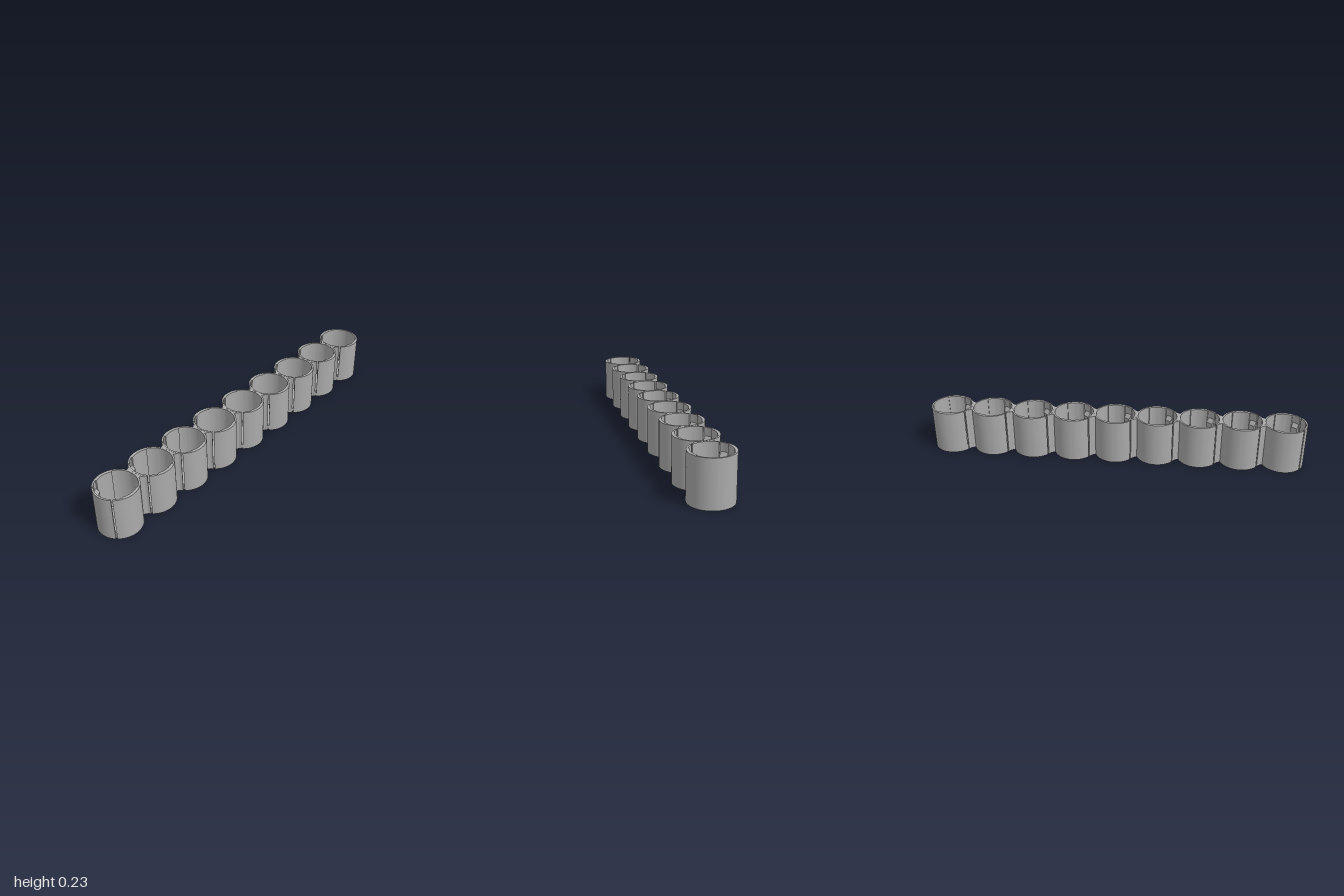
import * as THREE from 'three';
import { toCreasedNormals } from 'three/addons/utils/BufferGeometryUtils.js';

const R = 0.111, H = 0.235, PITCH = 0.2223, COUNT = 9;
const THIN = 0.102, THICK = 0.096;   // inner wall radii
const SLOT = 0.672, HALF = 0.034;    // slot angle from the front and its half width
const FLOOR = 0.025;

// Plan position at an angle measured from the front (+z)
const at = (r, a, z = 0) => new THREE.Vector2(r * Math.sin(a), -(z + r * Math.cos(a)));

function arc(r, a0, a1, z = 0) {
  const n = Math.max(2, Math.ceil(Math.abs(a1 - a0) / 0.09));
  return Array.from({ length: n + 1 }, (_, i) => at(r, a0 + (a1 - a0) * i / n, z));
}

// Extrude a plan outline upward
function rise(shape, height) {
  const g = new THREE.ExtrudeGeometry(shape, { depth: height, bevelEnabled: false, curveSegments: 48 });
  g.rotateX(-Math.PI / 2);
  return toCreasedNormals(g, 0.5);
}

export function createModel() {
  const grey = new THREE.MeshStandardMaterial({ color: 0xaaaaaa });
  grey.name = 'grey plastic';
  const model = new THREE.Group();
  model.name = 'cupRow';
  const add = (parent, name, geometry, y = 0) => {
    const m = new THREE.Mesh(geometry, grey);
    m.name = name;
    m.position.y = y;
    parent.add(m);
    return m;
  };

  // Curved wall between the two slots, front and back
  const frontWall = rise(new THREE.Shape([
    ...arc(R, -SLOT + HALF, SLOT - HALF), ...arc(THIN, SLOT - HALF, -SLOT + HALF)]), H);
  const a = SLOT + HALF, b = 2 * Math.PI - a, c = 1.15, d = 2.1, T = 2 * Math.PI;
  const backWall = rise(new THREE.Shape([
    ...arc(R, a, b),
    ...arc(THIN, b, T - c), ...arc(THICK, T - c, T - d),
    ...arc(THIN, T - d, d), ...arc(THICK, d, c), ...arc(THIN, c, a)]), H);

  // Floor, solid or with a rectangular pocket underneath
  const disc = new THREE.Shape(arc(0.105, 0, T).slice(0, -1));
  const solidFloor = rise(disc, FLOOR - 0.001);
  const ring = disc.clone();
  const px = 0.025, pz = 0.036;
  ring.holes.push(new THREE.Path([
    new THREE.Vector2(-px, -pz), new THREE.Vector2(-px, pz),
    new THREE.Vector2(px, pz), new THREE.Vector2(px, -pz)]));
  const pocketFloor = rise(ring, FLOOR - 0.004);
  const pocketLid = rise(disc, 0.003);

  // Sloped catch beside each slot
  const catchShape = new THREE.Shape([[0.004, 0.195], [-0.014, 0.172], [-0.014, 0.13], [0.004, 0.12]]
    .map(p => new THREE.Vector2(...p)));
  const catchGeo = new THREE.ExtrudeGeometry(catchShape, { depth: 0.036, bevelEnabled: false });
  catchGeo.translate(0, 0, -0.018);

  // Tapered web joining one cup to the next
  const webGeo = rise(new THREE.Shape([
    ...arc(0.107, -0.6, 0.6), ...arc(0.107, Math.PI - 0.36, Math.PI + 0.36, PITCH)]), H - 0.001);

  for (let i = 0; i < COUNT; i++) {
    const cup = new THREE.Group();
    cup.name = 'cup' + (i + 1);
    cup.position.z = (i - (COUNT - 1) / 2) * PITCH;
    add(cup, 'frontWall', frontWall);
    add(cup, 'backWall', backWall);
    if (i === 0 || i === COUNT - 2) {
      add(cup, 'pocketFloor', pocketFloor, 0.001);
      add(cup, 'pocketLid', pocketLid, FLOOR - 0.003);
    } else add(cup, 'floor', solidFloor, 0.001);
    for (const s of [-1, 1]) {
      const t = s * 0.91;
      const m = add(cup, s > 0 ? 'leftCatch' : 'rightCatch', catchGeo);
      m.position.set(0.099 * Math.sin(t), 0, 0.099 * Math.cos(t));
      m.rotation.y = t - Math.PI / 2;
    }
    if (i < COUNT - 1) add(cup, 'web', webGeo);
    model.add(cup);
  }
  return model;
}
